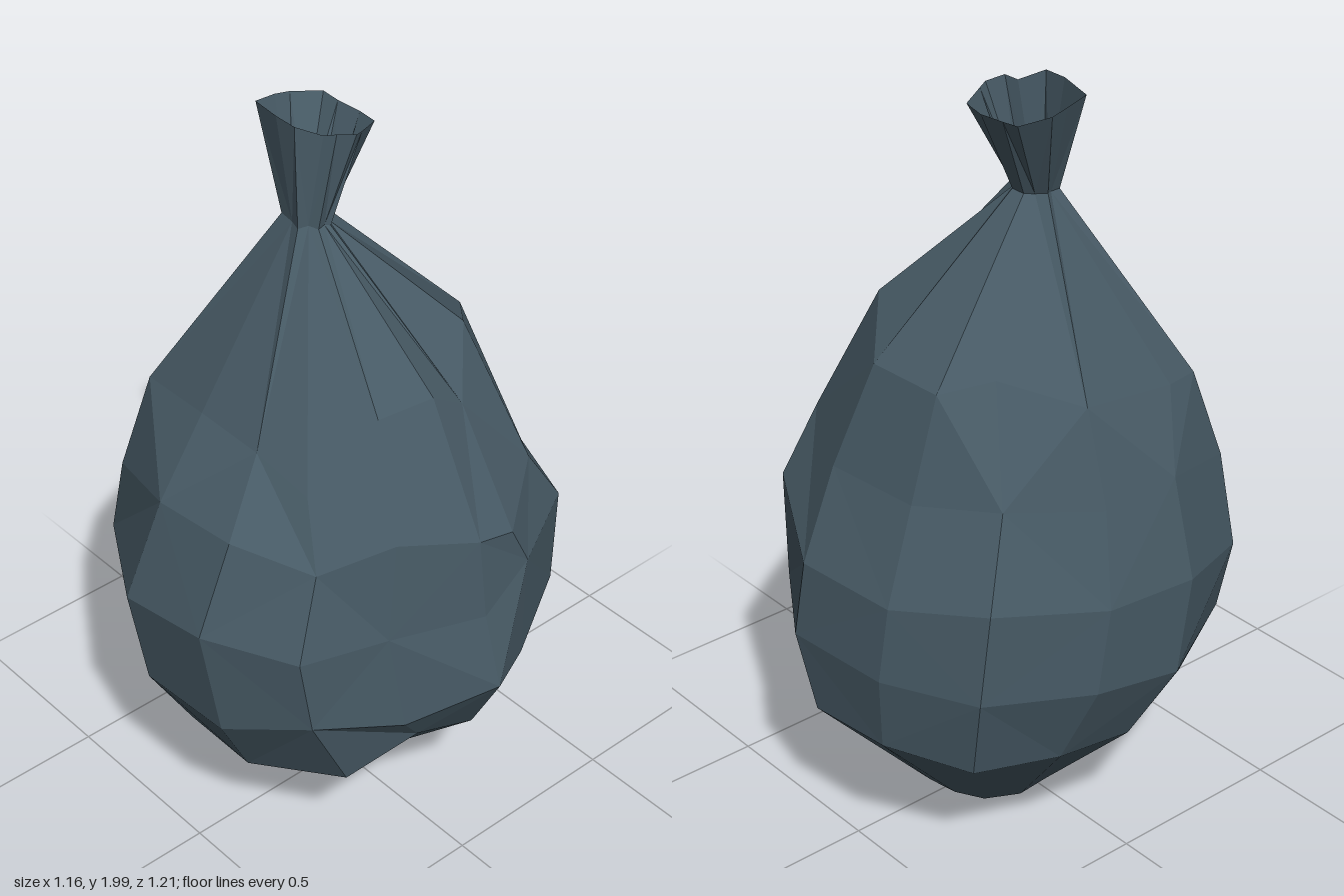
import * as THREE from 'three';

// Irregular plan outline of the sack, clockwise from above
const outline = [[0.10, -0.61], [0.37, -0.43], [0.51, -0.18], [0.58, -0.03], [0.49, 0.22], [0.39, 0.45], [0.19, 0.59],
  [-0.10, 0.60], [-0.45, 0.40], [-0.58, 0.11], [-0.57, -0.16], [-0.44, -0.44], [-0.21, -0.58]];
const N = outline.length;

// Cross-sections: front y, back y, xMin, xMax, zMin, zMax, height wobble, pleat depth
const bodyRings = [
  [0.07, 0.07, -0.22, 0.12, -0.27, 0.13, 0.01, 0],
  [0.30, 0.39, -0.47, 0.42, -0.575, 0.435, 0.015, 0],
  [0.53, 0.61, -0.575, 0.56, -0.605, 0.565, 0.02, 0],
  [0.82, 0.83, -0.585, 0.53, -0.585, 0.605, 0.03, 0],
  [1.08, 1.06, -0.525, 0.51, -0.475, 0.505, 0.03, 0],
  [1.26, 1.32, -0.45, 0.36, -0.385, 0.35, 0.03, 0],
  [1.72, 1.72, -0.145, 0.0, -0.02, 0.09, 0.005, 0.22],
];
const rimRing = [1.995, 1.945, -0.235, 0.04, -0.13, 0.095, 0, 0.03];

// Corners of the main creases and bulges, per ring: outline index -> position
const creases = [
  { 3: [0.21, 0.15, -0.05] },
  { 2: [0.42, 0.42, -0.20], 4: [0.43, 0.43, 0.11], 5: [0.37, 0.35, 0.30], 8: [-0.36, 0.34, 0.31], 11: [-0.38, 0.36, -0.42] },
  { 3: [0.58, 0.61, -0.03], 5: [0.39, 0.61, 0.43], 8: [-0.40, 0.53, 0.40] },
  { 1: [0.37, 0.90, -0.43], 2: [0.51, 0.90, -0.18], 5: [0.38, 0.83, 0.46], 8: [-0.45, 0.74, 0.40] },
  { 1: [0.36, 1.07, -0.32], 2: [0.51, 1.02, -0.12], 5: [0.35, 1.05, 0.38], 8: [-0.39, 0.98, 0.40] },
  { 1: [0.19, 1.43, -0.24], 3: [0.32, 1.37, -0.02], 4: [0.30, 1.37, 0.14], 5: [0.25, 1.20, 0.32],
    8: [-0.36, 1.23, 0.32], 9: [-0.40, 1.25, 0.20], 11: [-0.27, 1.36, -0.25] },
];

// Repeatable wobble in -1..1
const wobble = (i, j) => Math.sin(i * 2.4 + j * 4.1) * Math.cos(i * 1.3 - j * 2.7);

function ringPoints([yFront, yBack, x0, x1, z0, z1, lift, pleat], j) {
  return outline.map(([x, z], i) => {
    const s = 1 - (i % 2 ? pleat : 0);
    return new THREE.Vector3(
      (x0 + x1) / 2 + (x / 0.58) * s * (x1 - x0) / 2,
      THREE.MathUtils.lerp(yBack, yFront, (z / 0.605 + 1) / 2) + lift * wobble(i, j),
      (z0 + z1) / 2 + (z / 0.605) * s * (z1 - z0) / 2);
  });
}

// Skin between successive rings with varied diagonals, closed to a point below
function skin(rings, bottom) {
  const pos = [];
  const tri = (...pts) => pts.forEach(p => pos.push(p.x, p.y, p.z));
  for (let j = 0; j < rings.length - 1; j++) {
    for (let i = 0; i < N; i++) {
      const k = (i + 1) % N;
      const a = rings[j][i], b = rings[j + 1][i], c = rings[j + 1][k], d = rings[j][k];
      if ((i + j) % 2) tri(a, b, c, a, c, d);
      else tri(a, b, d, b, c, d);
    }
  }
  rings[0].forEach((p, i) => tri(bottom, p, rings[0][(i + 1) % N]));
  const g = new THREE.BufferGeometry();
  g.setAttribute('position', new THREE.Float32BufferAttribute(pos, 3));
  g.computeVertexNormals();
  return g;
}

export function createModel() {
  const group = new THREE.Group();
  group.name = 'tiedSack';
  const cloth = new THREE.MeshStandardMaterial({ color: 0x475a65, side: THREE.DoubleSide });
  cloth.flatShading = true;

  // Bulging body, gathered straight up to the tie
  const body = bodyRings.map(ringPoints);
  creases.forEach((corners, j) => {
    for (const [i, p] of Object.entries(corners)) body[j][i].set(...p);
  });
  const bodyMesh = new THREE.Mesh(skin(body, new THREE.Vector3(0.01, 0, -0.10)), cloth);
  bodyMesh.name = 'sackBody';

  // Open neck flaring straight from the tie to an angular, tilted rim
  const rim = ringPoints(rimRing, 0);
  rim[1].set(-0.01, 1.95, -0.12);
  rim[5].set(-0.01, 1.97, 0.04);
  rim[8].set(-0.22, 1.985, 0.07);
  rim[11].set(-0.2, 1.95, -0.125);
  const neckMesh = new THREE.Mesh(skin([body[body.length - 1], rim], new THREE.Vector3(-0.08, 1.71, 0.05)), cloth);
  neckMesh.name = 'sackNeck';

  group.add(bodyMesh, neckMesh);
  return group;
}
